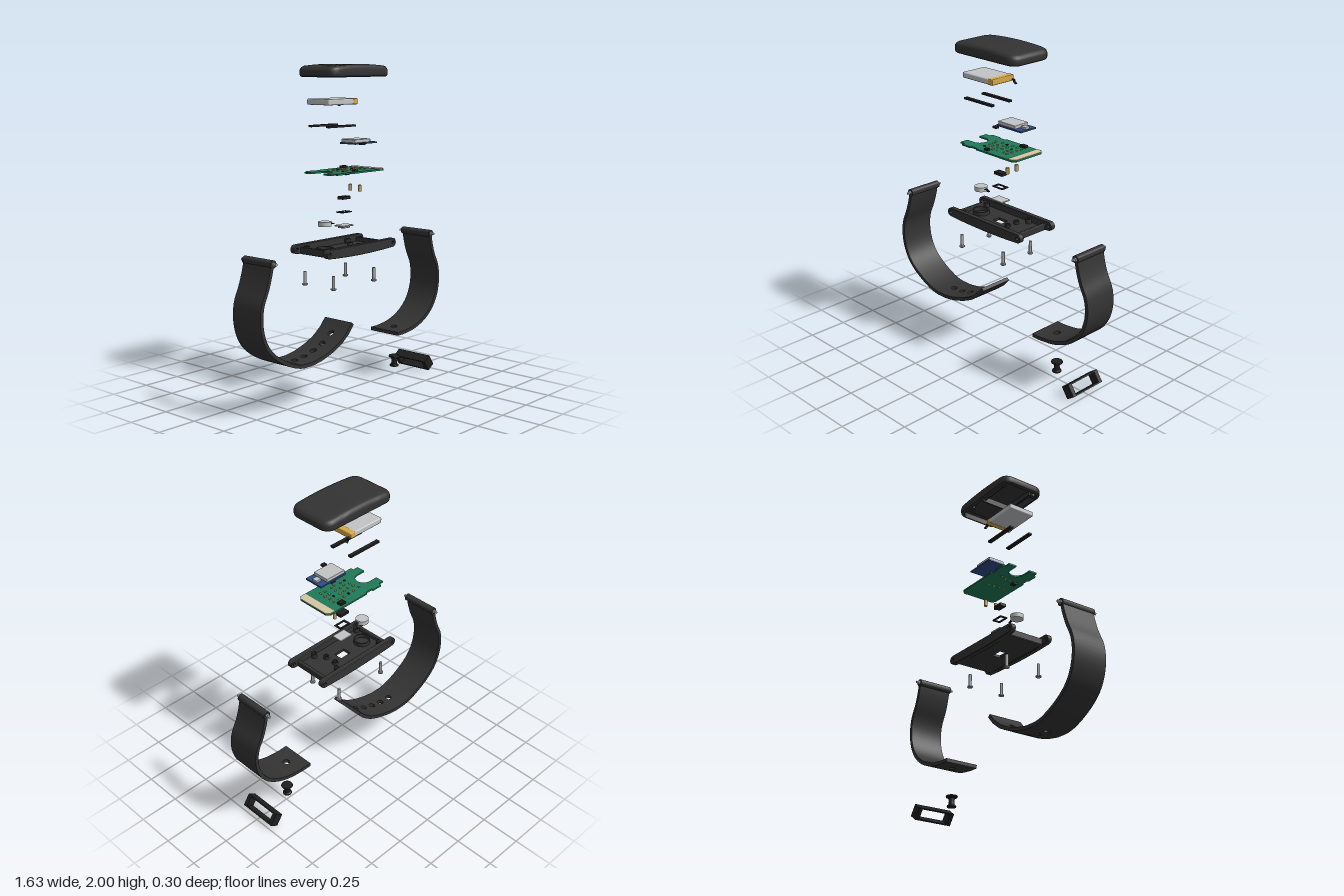
import * as THREE from 'three';
import { mergeGeometries, toCreasedNormals } from 'three/addons/utils/BufferGeometryUtils.js';
import { RoundedBoxGeometry } from 'three/addons/geometries/RoundedBoxGeometry.js';

const colours = {
  charcoal: 0x333333, black: 0x1f1f1f, silver: 0xc2c4c5, steel: 0xa6a8a9, gold: 0xd8a846,
  brass: 0xc4a566, green: 0x1f7a58, blue: 0x2f4a86, beige: 0xd6c7a2,
};

export function createModel() {
  const model = new THREE.Group();
  const mats = {};
  for (const [name, color] of Object.entries(colours)) {
    mats[name] = new THREE.MeshStandardMaterial({ color });
    mats[name].name = name;
  }
  const add = (name, geo, mat, x = 0, y = 0, z = 0) => {
    const m = new THREE.Mesh(geo, mats[mat]);
    m.name = name;
    m.position.set(x, y, z);
    model.add(m);
    return m;
  };
  // box given by its x, y and z ranges
  const box = (name, mat, x0, x1, y0, y1, z0, z1, r = 0) => {
    const s = [x1 - x0, y1 - y0, z1 - z0];
    const g = r ? new RoundedBoxGeometry(...s, 3, r) : new THREE.BoxGeometry(...s);
    return add(name, g, mat, (x0 + x1) / 2, (y0 + y1) / 2, (z0 + z1) / 2);
  };
  const cyl = (name, mat, r, h, x, y, z, n = 24) => add(name, new THREE.CylinderGeometry(r, r, h, n), mat, x, y, z);
  const lathe = (name, mat, pts, x, y, z) => add(name, toCreasedNormals(
    new THREE.LatheGeometry(pts.map(p => new THREE.Vector2(...p)), 28), 0.6), mat, x, y, z);
  const ring = (name, mat, r, w, h, x, y, z) =>
    lathe(name, mat, [[r - w, 0], [r, 0], [r, h], [r - w, h], [r - w, 0]], x, y, z);
  const wire = (name, mat, pts, r) => add(name, new THREE.TubeGeometry(
    new THREE.CatmullRomCurve3(pts.map(p => new THREE.Vector3(...p))), 12, r, 8), mat);
  const poly = pts => pts.map(p => new THREE.Vector2(...p));
  const rect = (a, b, c, d) => poly([[a, c], [b, c], [b, d], [a, d]]);
  // flat plate: outline in x and z, with holes
  const plate = (name, mat, outline, holes, y, h) => {
    const s = new THREE.Shape(outline);
    s.holes = holes.map(p => new THREE.Path(p));
    const g = new THREE.ExtrudeGeometry(s, { depth: h, bevelEnabled: false });
    return add(name, g.rotateX(Math.PI / 2), mat, 0, y + h, 0);
  };

  // ---- top cover: one hollow shell lofted from inner ceiling over the rim to the domed top
  const ringPoints = (a, b, r) => {
    const pts = [];
    const corners = [[1, 1], [-1, 1], [-1, -1], [1, -1]];
    corners.forEach(([sx, sz], c) => {
      const cx = sx * (a - r), cz = sz * (b - r);
      for (let i = 0; i <= 6; i++) {
        const t = (c + i / 6) * Math.PI / 2;
        pts.push([cx + r * Math.cos(t), cz + r * Math.sin(t)]);
      }
      if (c % 2 === 0) for (let i = 1; i < 10; i++) pts.push([cx * (1 - i / 5), cz + sz * r]);
    });
    return pts;
  };
  const halfX = 0.261, halfZ = 0.15;
  const sections = [[halfZ, 1.983], [0.1, 1.983], [0.03, 1.983], [0.02, 1.973], [0.02, 1.925], [0.012, 1.925],
    [0.003, 1.931], [0, 1.94], [0, 1.975], [0.003, 1.985], [0.01, 1.993], [0.022, 1.999], [0.04, 2], [0.09, 2], [halfZ, 2]];
  const pos = [], idx = [];
  sections.forEach(([d, y], j) => {
    const pts = ringPoints(halfX - d, halfZ - d, Math.max(0.06 - d, 0)), n = pts.length;
    pts.forEach(([x, z], i) => {
      pos.push(x, y > 1.95 ? y - 0.015 * (x / halfX) ** 2 : y, z);
      if (j === sections.length - 1) return;
      const a = j * n + i, b = j * n + (i + 1) % n;
      idx.push(a, a + n, b, b, a + n, b + n);
    });
  });
  const shell = new THREE.BufferGeometry();
  shell.setAttribute('position', new THREE.Float32BufferAttribute(pos, 3));
  shell.setIndex(idx);
  add('topCover', toCreasedNormals(shell, 0.6), 'charcoal');
  for (const z of [-0.095, 0.095]) box('coverRib', 'charcoal', -0.19, 0.03, 1.945, 1.98, z - 0.004, z + 0.004);
  box('coverCrossRib', 'charcoal', 0.04, 0.048, 1.945, 1.985, -0.1, 0.1);
  for (const x of [-0.2, 0.14]) for (const z of [-0.11, 0.11]) cyl('coverBoss', 'charcoal', 0.016, 0.045, x, 1.953, z);

  // ---- battery with its end wrap and leads
  box('batteryCell', 'silver', -0.231, -0.01, 1.765, 1.8, -0.088, 0.088, 0.008);
  box('batteryWrap', 'gold', -0.016, 0.022, 1.7645, 1.8005, -0.0885, 0.0885, 0.005);
  for (const z of [-0.073, -0.083])
    wire('batteryLead', 'black', [[0.018, 1.775, z], [0.032, 1.772, z], [0.037, 1.76, z], [0.048, 1.75, z - 0.004]], 0.004);

  // ---- foam strips
  for (const z of [-0.071, 0.071]) box('foamStrip', 'black', -0.223, 0.012, 1.634, 1.646, z - 0.012, z + 0.012);

  // ---- radio module
  box('moduleBoard', 'blue', 0.03, 0.23, 1.523, 1.532, -0.062, 0.062);
  box('moduleShield', 'silver', 0.035, 0.175, 1.532, 1.553, -0.055, 0.055, 0.004);
  box('moduleCrystal', 'silver', 0.185, 0.222, 1.532, 1.547, -0.018, 0.018, 0.003);
  box('moduleSwitch', 'black', 0.042, 0.072, 1.522, 1.534, 0.082, 0.106);

  // ---- main circuit board with a round-bottomed notch
  const right = [[-0.236, 0.05], [-0.236, 0.105], [-0.2, 0.105], [-0.2, 0.125], [-0.13, 0.125], [-0.13, 0.115],
    [-0.08, 0.115], [-0.08, 0.125], [0.217, 0.125], [0.237, 0.105]];
  const notch = [];
  for (let i = 0; i <= 12; i++) {
    const t = -Math.PI / 2 + i * Math.PI / 12;
    notch.push([-0.178 + 0.05 * Math.cos(t), 0.05 * Math.sin(t)]);
  }
  const mirrored = right.map(([x, z]) => [x, -z]).reverse();
  plate('circuitBoard', 'green', poly([...mirrored, ...notch, ...right].reverse()), [], 1.36, 0.01);
  plate('boardEndStrip', 'beige', poly([[0.182, -0.122], [0.215, -0.122], [0.236, -0.104], [0.236, 0.104], [0.215, 0.122], [0.182, 0.122]]),
    [], 1.37, 0.003);
  box('boardChip', 'black', 0.08, 0.12, 1.37, 1.384, -0.11, -0.08);
  box('boardConnector', 'black', -0.03, 0.0, 1.37, 1.381, 0.088, 0.108);
  box('undersideChip', 'black', -0.073, -0.042, 1.35, 1.36, 0.05, 0.08);
  let seed = 7;
  const rnd = () => (seed = (seed * 16807) % 2147483647) / 2147483647;
  for (let i = 0; i < 24; i++) {
    const x = -0.09 + (i % 6) * 0.04 + rnd() * 0.015, z = -0.06 + Math.floor(i / 6) * 0.038 + rnd() * 0.012;
    const w = 0.004 + rnd() * 0.003, d = 0.004 + rnd() * 0.005;
    box('boardPart', i % 8 === 2 ? 'black' : 'brass', x - w, x + w, 1.37, 1.375, z - d, z + d);
    if (i % 3 === 0) box('undersidePart', 'brass', x - w, x + w, 1.356, 1.36, z - d, z + d);
  }

  // ---- contact pins, sensor, gasket and lens
  for (const z of [-0.037, 0.039]) cyl('contactPin', 'brass', 0.011, 0.04, 0.098, 1.255, z);
  box('sensor', 'black', -0.035, 0.033, 1.195, 1.213, -0.021, 0.021);
  plate('gasket', 'black', rect(-0.044, 0.041, -0.027, 0.027), [rect(-0.031, 0.028, -0.016, 0.016)], 1.114, 0.006);
  box('lensFlange', 'silver', -0.05, 0.047, 1.03, 1.039, -0.036, 0.036, 0.004);
  box('lensBody', 'silver', -0.033, 0.03, 1.02, 1.034, -0.024, 0.024, 0.004);

  // ---- vibration motor
  cyl('vibrationMotor', 'silver', 0.04, 0.028, -0.172, 1.063, 0, 36);
  for (const z of [-0.005, 0.005])
    wire('motorLead', 'black', [[-0.136, 1.065, z], [-0.12, 1.066, z], [-0.112, 1.06, z], [-0.097, 1.056, z]], 0.0035);

  // ---- base tray with side rails ending in strap lugs
  const rail = new THREE.Shape();
  rail.absarc(0.288, 0.91, 0.025, -Math.PI / 2, Math.PI / 2, false);
  rail.lineTo(-0.288, 0.935);
  rail.absarc(-0.288, 0.91, 0.025, Math.PI / 2, Math.PI * 1.5, false);
  rail.quadraticCurveTo(0, 0.867, 0.288, 0.885);
  for (const x of [-0.288, 0.288]) rail.holes.push(new THREE.Path().absarc(x, 0.91, 0.011, 0, Math.PI * 2, true));
  const railGeo = toCreasedNormals(new THREE.ExtrudeGeometry(rail,
    { depth: 0.029, bevelEnabled: true, bevelSize: 0.002, bevelThickness: 0.002, bevelSegments: 1, curveSegments: 16 }), 0.6);
  for (const z of [-0.147, 0.118]) add('baseRail', railGeo, 'charcoal', 0, 0, z);
  plate('baseFloor', 'charcoal', rect(-0.26, 0.26, -0.118, 0.118), [rect(-0.04, 0.036, -0.027, 0.027)], 0.88, 0.016);
  for (const x of [-0.252, 0.252]) box('baseEndWall', 'charcoal', x - 0.01, x + 0.01, 0.882, 0.922, -0.118, 0.118, 0.005);
  ring('motorSeat', 'charcoal', 0.052, 0.008, 0.025, -0.172, 0.895, 0);
  for (const z of [-0.037, 0.039]) ring('contactSeat', 'charcoal', 0.018, 0.007, 0.02, 0.098, 0.895, z);
  for (const x of [-0.224, 0.142]) for (const z of [-1, 1]) {
    ring('screwPost', 'charcoal', 0.018, 0.008, 0.03, x, 0.895, z * 0.098);
    // ---- screws, heads down
    lathe('screw', 'steel', [[0, 0], [0.014, 0], [0.017, 0.003], [0.017, 0.01], [0.0095, 0.012], [0.0095, 0.085], [0, 0.085]],
      x, 0.685, z * 0.116);
  }

  // ---- straps: flat slabs with holes, bent along a side-view path
  const strap = (name, pts, holeXs, holeR) => {
    const path = new THREE.CatmullRomCurve3(pts.map(([x, y]) => new THREE.Vector3(x, y, 0)));
    path.arcLengthDivisions = 400;
    const L = path.getLength(), half = 0.031;
    const holes = holeXs.map(x => {
      let u = 1;
      while (Math.abs(path.getPointAt(u).x) < Math.abs(x)) u -= 0.001;
      return u * L;
    }).sort((a, b) => a - b);
    const slabs = [];
    const slab = (s0, s1, hole) => {
      const shape = new THREE.Shape(rect(s0, s1, -0.111, 0.111));
      if (hole) shape.holes.push(new THREE.Path().absarc((s0 + s1) / 2, 0, holeR, 0, Math.PI * 2, true));
      slabs.push(new THREE.ExtrudeGeometry(shape, { depth: 0.022, bevelEnabled: false }));
    };
    const plain = (s0, s1) => {
      const k = Math.max(1, Math.ceil((s1 - s0) / 0.03));
      for (let i = 0; i < k; i++) slab(s0 + (s1 - s0) * i / k, s0 + (s1 - s0) * (i + 1) / k, false);
    };
    let s = 0;
    for (const h of holes) {
      plain(s, h - half);
      slab(h - half, h + half, true);
      s = h + half;
    }
    plain(s, L);
    const g = mergeGeometries(slabs), p = g.attributes.position;
    for (let i = 0; i < p.count; i++) {
      const u = Math.min(1, Math.max(0, p.getX(i) / L)), t = p.getZ(i) - 0.011;
      const c = path.getPointAt(u), d = path.getTangentAt(u);
      p.setXYZ(i, c.x + d.y * t, c.y - d.x * t, p.getY(i));
    }
    add(name, toCreasedNormals(g, 0.5), 'charcoal');
    // pin sleeve and spring bar
    const [x, y] = [Math.sign(pts[0][0]) * 0.716, 0.91];
    ring(name + 'Sleeve', 'charcoal', 0.023, 0.011, 0.23, x, y, -0.115).rotation.x = Math.PI / 2;
    cyl(name + 'SpringBar', 'steel', 0.0122, 0.25, x, y, 0).rotation.x = Math.PI / 2;
    cyl(name + 'SpringBarTip', 'steel', 0.008, 0.276, x, y, 0).rotation.x = Math.PI / 2;
  };
  strap('longStrap', [[-0.722, 0.892], [-0.732, 0.849], [-0.76, 0.765], [-0.795, 0.685], [-0.806, 0.6], [-0.79, 0.504], [-0.748, 0.424],
    [-0.668, 0.354], [-0.52, 0.284], [-0.414, 0.275], [-0.308, 0.292], [-0.175, 0.341], [-0.095, 0.396], [-0.045, 0.451]],
  [-0.435, -0.355, -0.275, -0.195, -0.115], 0.02);
  strap('shortStrap', [[0.72, 0.892], [0.729, 0.849], [0.755, 0.769], [0.794, 0.69], [0.807, 0.6], [0.789, 0.504], [0.743, 0.424],
    [0.668, 0.362], [0.568, 0.32], [0.46, 0.303], [0.388, 0.302]], [0.488], 0.021);

  // ---- strap stud and keeper loop
  lathe('strapStud', 'black', [[0, 0], [0.027, 0], [0.029, 0.004], [0.027, 0.011], [0.019, 0.016], [0.017, 0.04],
    [0.02, 0.056], [0.034, 0.061], [0.037, 0.066], [0.034, 0.072], [0, 0.074]], 0.49, 0.051, 0);
  const loop = new THREE.Shape(rect(-0.127, 0.127, -0.04, 0.04));
  loop.holes.push(new THREE.Path(rect(-0.1, 0.1, -0.032, 0.032)));
  const loopGeo = new THREE.ExtrudeGeometry(loop, { depth: 0.06, bevelEnabled: false });
  loopGeo.translate(0, 0, -0.03).rotateY(Math.PI / 2).rotateZ(0.61);
  add('strapKeeper', loopGeo, 'black', 0.697, 0.0501, 0);

  return model;
}
